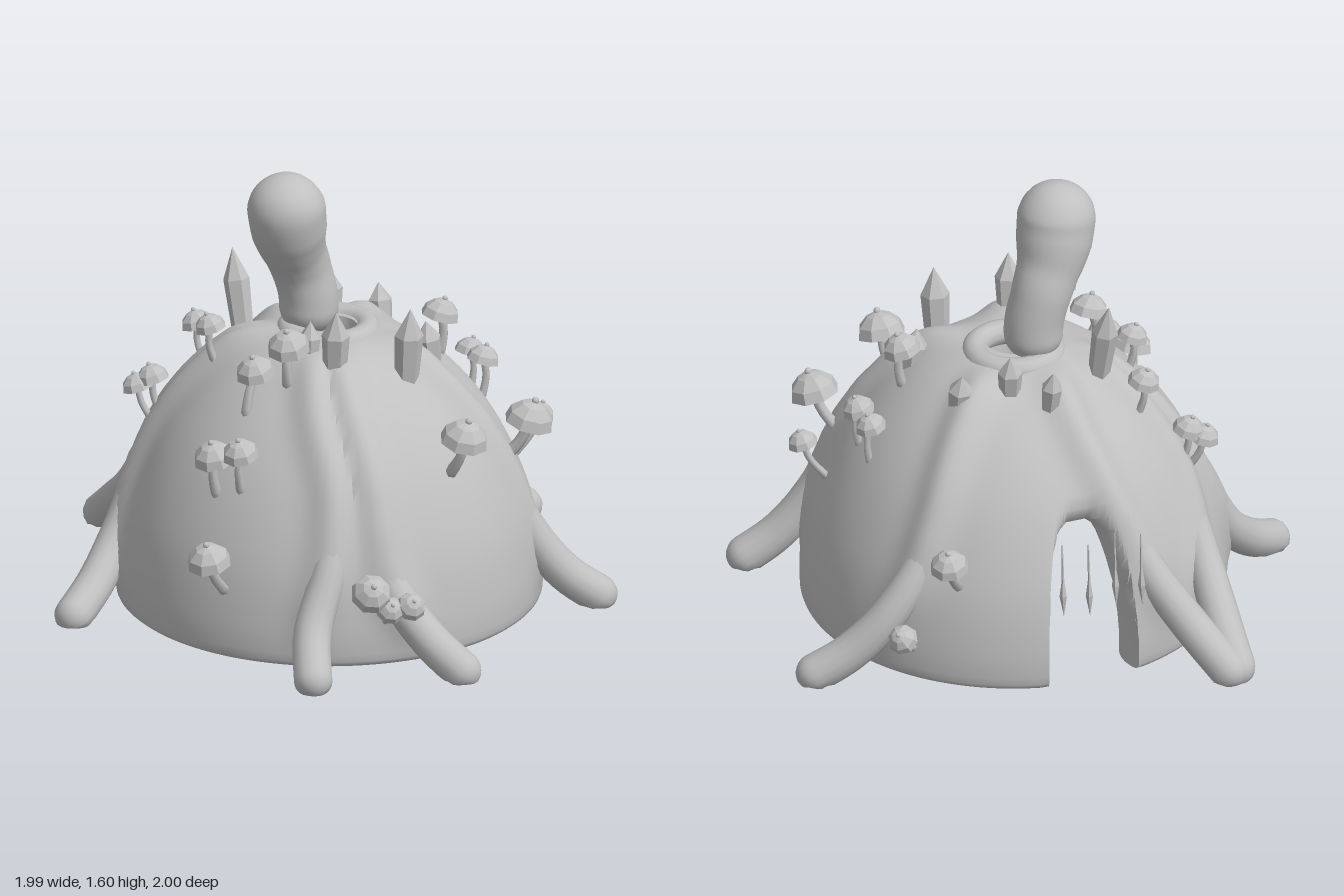
import * as THREE from 'three';
import { toCreasedNormals } from 'three/addons/utils/BufferGeometryUtils.js';

const CX = 0.02, CZ = -0.03, WALL = 0.12; // dome axis and wall thickness
const profile = new THREE.SplineCurve([[0.75, 0], [0.75, 0.14], [0.71, 0.36], [0.61, 0.6], [0.485, 0.78],
  [0.34, 0.915], [0.2, 0.985], [0.1, 1.0]].map(p => new THREE.Vector2(...p)));
const samples = profile.getPoints(300);

const domeR = y => (samples.find(p => p.y >= y) || samples[300]).x;
const domeY = r => (samples.find(p => p.x <= r && p.y > 0.14) || samples[300]).y;
const domeS = y => Math.max(0, samples.findIndex(p => p.y >= y)) / 300;

// Roots: [x, z] lies on the dome, [x, y, z] is free
const rootPoints = {
  rootRight: [[-0.17, -0.13], [-0.35, -0.24], [-0.54, -0.33], [-0.68, 0.24, -0.28], [-0.8, 0.11, -0.2], [-0.98, 0, -0.08]],
  rootBackLeft: [[0.17, -0.17], [0.35, -0.32], [0.53, -0.45], [0.66, 0.28, -0.46], [0.8, 0.12, -0.42], [0.98, 0, -0.36]],
  rootFrontLeft: [[0.18, 0.12], [0.3, 0.25], [0.48, 0.36], [0.59, 0.3, 0.41], [0.71, 0.13, 0.45], [0.88, 0, 0.5]],
  rootFront: [[-0.04, 0.17], [-0.08, 0.35], [-0.08, 0.54], [-0.06, 0.3, 0.67], [0.02, 0.13, 0.8], [0.13, 0, 0.98]],
  rootFrontRight: [[-0.12, 0.16], [-0.2, 0.35], [-0.22, 0.53], [-0.27, 0.36, 0.61], [-0.37, 0.16, 0.69], [-0.44, 0, 0.86]],
  rootDoorway: [[-0.03, -0.24], [-0.04, -0.43], [-0.1, -0.59], [-0.22, 0.36, -0.7], [-0.34, 0.16, -0.81], [-0.45, 0, -0.98]],
  rootBackRight: [[-0.2, -0.2], [-0.35, -0.33], [-0.46, -0.46], [-0.47, 0.28, -0.61], [-0.46, 0.13, -0.8], [-0.45, 0, -0.98]],
};
const rootPaths = Object.entries(rootPoints).map(([name, pts]) => [name, pts.map(p => p.length === 3
  ? new THREE.Vector3(...p)
  : new THREE.Vector3(p[0], domeY(Math.hypot(p[0] - CX, p[1] - CZ)), p[1]))]);
const ridgeSamples = rootPaths.flatMap(([, path]) => new THREE.CatmullRomCurve3(path).getPoints(50));

// Height of the soft ridge a root raises on the dome, fading out near the roof hole
function ridge(p) {
  let d2 = 1;
  for (const q of ridgeSamples) d2 = Math.min(d2, p.distanceToSquared(q));
  return 0.048 * Math.exp(-d2 / 0.005) * THREE.MathUtils.smoothstep(Math.hypot(p.x - CX, p.z - CZ), 0.14, 0.34);
}

// Skin a grid of points: rows follow each other, every row is a closed loop
function skin(rows, closed) {
  const n = rows[0].length, index = [];
  const m = closed ? rows.length : rows.length - 1;
  for (let i = 0; i < m; i++) for (let j = 0; j < n; j++) {
    const k = (i + 1) % rows.length, l = (j + 1) % n;
    const a = i * n + j, b = i * n + l, c = k * n + j, d = k * n + l;
    index.push(a, b, c, b, d, c);
  }
  const g = new THREE.BufferGeometry();
  g.setAttribute('position', new THREE.Float32BufferAttribute(rows.flat().flatMap(p => [p.x, p.y, p.z]), 3));
  g.setIndex(index);
  g.computeVertexNormals();
  return g;
}

// Hollow ridged dome with a rounded lip; its lower edge rises over the doorway at the back
function domeGeometry() {
  const door = 0.23, thetas = [], rows = [];
  const steps = [0, 0.004, 0.012, 0.024, ...Array.from({ length: 34 }, (_, j) => 0.04 + 0.96 * j / 33)];
  for (let i = 0; i <= 30; i++) thetas.push(-Math.PI / 2 - door * Math.cos(Math.PI * i / 30));
  for (let i = 1; i < 140; i++) thetas.push(-Math.PI / 2 + door + (2 * Math.PI - 2 * door) * i / 140);
  for (const th of thetas) {
    const k = Math.abs((th + Math.PI / 2) / door);
    const s0 = k < 1 ? domeS(0.59 * Math.sqrt(1 - k ** 4)) : 0;
    const outer = [], inner = [];
    for (const step of steps) {
      const s = Math.max(s0, step), p = profile.getPoint(s), t = profile.getTangent(s);
      const u = Math.min(1, (s - s0) / 0.04);
      const lip = 0.045 * (1 - Math.sqrt(1 - (1 - u) ** 2));
      const at = off => {
        const r = p.x + off * t.y;
        return new THREE.Vector3(CX + r * Math.cos(th), Math.max(0, p.y - off * t.x), CZ + r * Math.sin(th));
      };
      outer.push(at(ridge(at(0)) - lip));
      inner.unshift(at(lip - WALL));
    }
    rows.push([...outer, ...inner]);
  }
  return toCreasedNormals(skin(rows, true), 0.8);
}

// Round-ended tube of changing radius, kept above the floor
function taperTube(points, radii, rings = 36, sides = 14) {
  const curve = new THREE.CatmullRomCurve3(points), len = curve.getLength();
  const end = points[points.length - 1];
  const ref = new THREE.Vector3(-end.z, 0, end.x).normalize();
  const rows = [];
  for (let i = 0; i <= rings; i++) {
    const t = (1 - Math.cos(Math.PI * i / rings)) / 2;
    const f = t * (radii.length - 1), a = Math.min(Math.floor(f), radii.length - 2);
    let r = THREE.MathUtils.lerp(radii[a], radii[a + 1], f - a);
    const d = Math.min(t, 1 - t) * len;
    if (d < r) r *= Math.sqrt(Math.max(0, 1 - (1 - d / r) ** 2));
    const c = curve.getPointAt(t), T = curve.getTangentAt(t);
    const N = new THREE.Vector3().crossVectors(T, ref).normalize();
    const B = new THREE.Vector3().crossVectors(T, N);
    rows.push(Array.from({ length: sides }, (_, j) => {
      const q = j / sides * Math.PI * 2;
      const p = c.clone().addScaledVector(N, r * Math.cos(q)).addScaledVector(B, r * Math.sin(q));
      p.y = Math.max(0, p.y);
      return p;
    }));
  }
  return skin(rows, false);
}

export function createModel() {
  const model = new THREE.Group();
  const stone = new THREE.MeshStandardMaterial({ color: 0xc0c0c0 });
  const add = (name, geometry, parent = model) => {
    const m = new THREE.Mesh(geometry, stone);
    m.name = name;
    parent.add(m);
    return m;
  };
  const faceted = g => { const f = g.toNonIndexed(); f.computeVertexNormals(); return f; };

  add('dome', domeGeometry());

  // Rim around the roof hole
  const rim = add('roofRim', new THREE.TorusGeometry(0.14, 0.045, 12, 36));
  rim.rotation.x = Math.PI / 2;
  rim.position.set(0.03, 0.975, -0.06);

  // Bulbous plume rising from the roof hole
  add('plume', taperTube([[-0.03, 0.96, -0.1], [-0.03, 1.1, -0.1], [-0.06, 1.22, -0.1], [-0.11, 1.34, -0.07],
    [-0.14, 1.46, -0.04], [-0.15, 1.6, -0.03]].map(p => new THREE.Vector3(...p)),
  [0.11, 0.105, 0.105, 0.112, 0.135, 0.14, 0.138], 48, 24));

  // Free ends of the roots, emerging gradually from inside the dome wall
  const core = new THREE.Vector3(CX, 0.3, CZ);
  for (const [name, path] of rootPaths) {
    const foot = path.slice(1);
    foot[0] = foot[0].clone().lerp(core, 0.08);
    foot[1] = foot[1].clone().lerp(core, 0.04);
    add(name, taperTube(foot, [0.035, 0.05, 0.062, 0.068, 0.07], 44));
  }

  // Crystals: x, z, bottom, top, radius
  const crystals = new THREE.Group();
  crystals.name = 'crystals';
  model.add(crystals);
  [[-0.08, 0.24, 0.87, 1.18, 0.05], [0.19, 0.29, 0.81, 1.16, 0.052], [0.37, 0.14, 0.81, 1.03, 0.047],
    [-0.14, 0.13, 0.9, 1.1, 0.04], [-0.22, -0.26, 0.86, 1.24, 0.047], [0.14, -0.28, 0.87, 1.1, 0.044],
    [0.33, -0.22, 0.83, 1.04, 0.044], [0.03, -0.39, 0.85, 1.07, 0.038]].forEach(([x, z, y0, y1, r], i) => {
    const h = y1 - y0;
    const prof = [[0, 0], [r * 0.75, 0], [r, h * 0.7], [0, h]].map(p => new THREE.Vector2(...p));
    const c = add('crystal', faceted(new THREE.LatheGeometry(prof, 6)), crystals);
    c.position.set(x * 0.94, y0, z * 0.94);
    c.rotation.set(z * 0.5, i * 1.3, -x * 0.4);
  });

  // Mushrooms: cap x, y, z, radius
  const capGeo = faceted(new THREE.LatheGeometry([[0, 0.1], [0.6, 0.02], [1, 0], [0.88, 0.45], [0.5, 0.82], [0, 1]]
    .map(p => new THREE.Vector2(...p)), 8));
  const knobGeo = new THREE.SphereGeometry(0.15, 8, 6);
  [[0.26, 0.75, 0.59, 0.088], [0.41, 1.0, 0.05, 0.07], [0.58, 0.79, -0.07, 0.057], [0.58, 0.8, 0.04, 0.06],
    [0.73, 0.62, 0.19, 0.055], [0.6, 0.69, 0.39, 0.09], [0.53, 0.52, -0.66, 0.07], [0.66, 0.2, -0.55, 0.055],
    [-0.24, 1.04, 0.2, 0.078], [-0.34, 0.94, 0.14, 0.072], [-0.37, 1.0, -0.18, 0.057], [-0.33, 0.93, -0.38, 0.06],
    [-0.55, 0.69, 0.25, 0.075], [-0.48, 0.72, 0.32, 0.067], [-0.53, 0.7, -0.45, 0.057], [-0.48, 0.73, -0.43, 0.06],
    [-0.66, 0.39, 0.45, 0.08], [-0.17, 0.3, 0.75, 0.074], [-0.11, 0.24, 0.78, 0.052], [-0.04, 0.25, 0.8, 0.054],
  ].forEach(([x, y, z, r]) => {
    const g = new THREE.Group();
    g.name = 'mushroom';
    model.add(g);
    const out = new THREE.Vector3(x - CX, 0, z - CZ).normalize();
    const tilt = y < 0.35 ? 0.8 : 0.28;
    const up = new THREE.Vector3(out.x * Math.sin(tilt), Math.cos(tilt), out.z * Math.sin(tilt));
    const cap = add('mushroomCap', capGeo, g), knob = add('mushroomKnob', knobGeo, g);
    const top = new THREE.Vector3(x, y, z);
    cap.position.copy(top);
    cap.scale.setScalar(r);
    cap.quaternion.setFromUnitVectors(new THREE.Vector3(0, 1, 0), up);
    knob.position.copy(top).addScaledVector(up, r);
    knob.scale.setScalar(r);
    // Bent stem rooted in the dome wall
    const yb = Math.max(0.05, y - (y < 0.35 ? 0.08 : 0.15)), rb = domeR(yb) - 0.02;
    const base = new THREE.Vector3(CX + out.x * rb, yb, CZ + out.z * rb);
    const mid = base.clone().lerp(top, 0.6).addScaledVector(out, 0.015);
    add('mushroomStem', taperTube([base, mid, top.clone().addScaledVector(up, r * 0.2)],
      [r * 0.28, r * 0.23, r * 0.2], 10, 6), g);
  });

  // Thin strands hanging before the doorway
  [-0.13, -0.03, 0.07, 0.17].forEach((x, i) => {
    const prof = [[0, -0.15], [0.014, -0.07], [0.005, -0.01], [0.003, 0.13], [0, 0.13]].map(p => new THREE.Vector2(...p));
    const s = add('strand', faceted(new THREE.LatheGeometry(prof, 5)));
    s.position.set(x, 0.47 + (i % 2) * 0.02, -0.835);
    s.rotation.x = 0.06;
  });

  return model;
}
